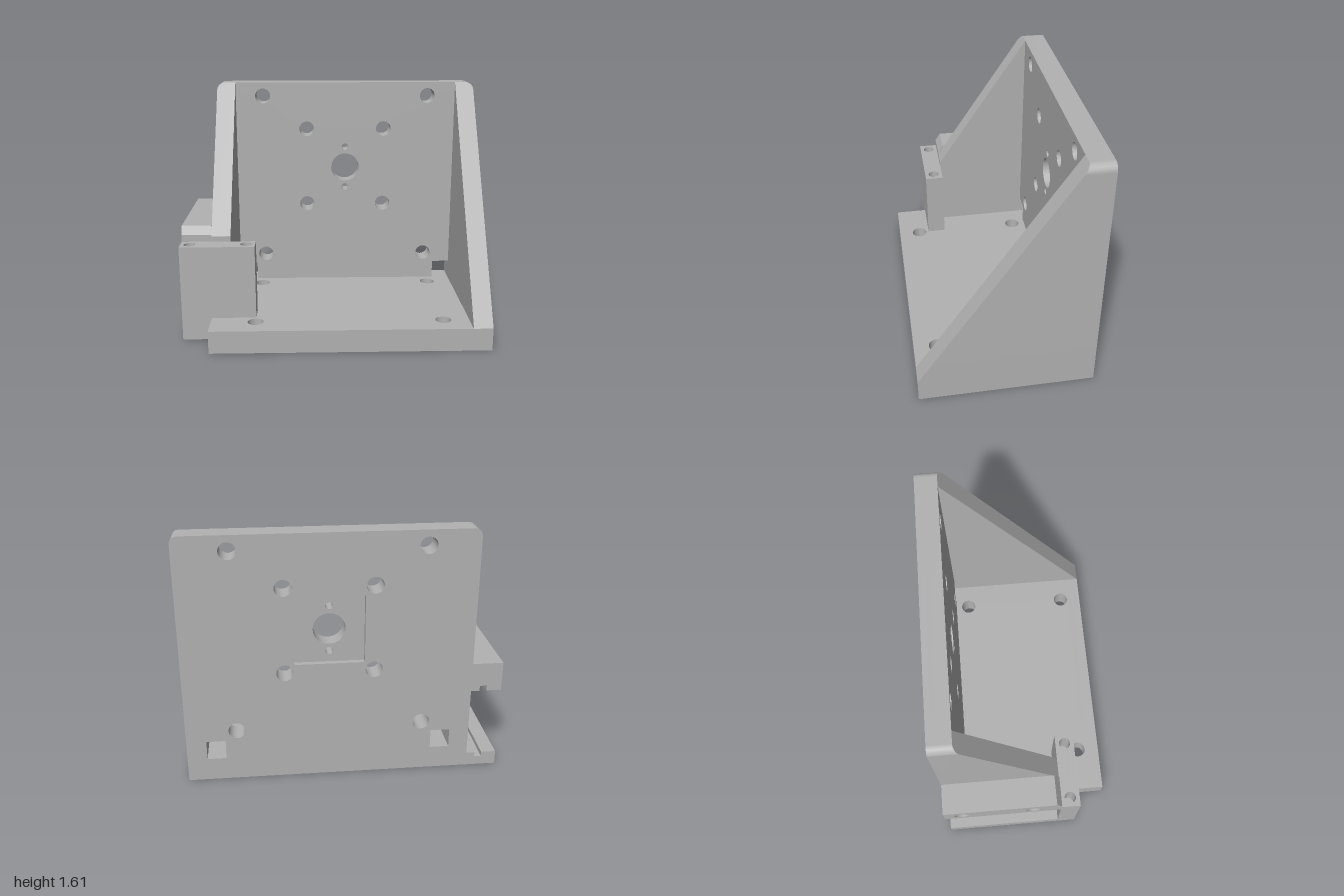
import * as THREE from 'three';
import { toCreasedNormals } from 'three/addons/utils/BufferGeometryUtils.js';

const XL = -0.805, XR = 1, WALL = 0.125;   // bracket sides and gusset thickness
const BACK = -0.56, FRONT = 0.56, PLATE_Z = -0.415;
const TOP = 1.61, BASE = 0.15, ROUND = 0.05;

export function createModel() {
  const model = new THREE.Group();
  model.name = 'mountingBracket';
  const grey = new THREE.MeshStandardMaterial({ color: 0xb2b2b2 });
  grey.name = 'machined grey';

  const add = (name, geometry) => {
    const mesh = new THREE.Mesh(geometry, grey);
    mesh.name = name;
    model.add(mesh);
    return mesh;
  };
  const box = (name, x0, x1, y0, y1, z0, z1) =>
    add(name, new THREE.BoxGeometry(x1 - x0, y1 - y0, z1 - z0)
      .translate((x0 + x1) / 2, (y0 + y1) / 2, (z0 + z1) / 2));
  const polygon = (points) => new THREE.Shape(points.map(([x, y]) => new THREE.Vector2(x, y)));
  const rect = (x0, x1, y0, y1) => polygon([[x0, y0], [x1, y0], [x1, y1], [x0, y1]]);
  const drill = (shape, r, centres) => {
    for (const [x, y] of centres) shape.holes.push(new THREE.Path().absarc(x, y, r, 0, Math.PI * 2, true));
    return shape;
  };
  const extrude = (shape, depth) =>
    new THREE.ExtrudeGeometry(shape, { depth, bevelEnabled: false, curveSegments: 16 });
  const crease = (geometry) => toCreasedNormals(geometry, 0.5);

  // Base with four bolt holes (shape y is -z)
  const baseHoles = [[-0.515, 0.32], [0.705, 0.32], [-0.515, -0.41], [0.705, -0.41]];
  add('base', crease(extrude(drill(rect(XL, XR, -FRONT, -BACK), 0.052, baseHoles), BASE)
    .rotateX(-Math.PI / 2)));

  // Back plate: rounded top, square notches at the foot, bolt pattern
  const plateShape = () => {
    const s = polygon([[XL, BASE], [XL + WALL, BASE], [-0.68, 0.275], [-0.557, 0.275], [-0.557, BASE],
      [0.755, BASE], [0.755, 0.275], [0.875, 0.275], [0.875, BASE], [XR, BASE]]);
    s.lineTo(XR, TOP - ROUND);
    s.absarc(XR - ROUND, TOP - ROUND, ROUND, 0, Math.PI / 2);
    s.lineTo(XL + ROUND, TOP);
    s.absarc(XL + ROUND, TOP - ROUND, ROUND, Math.PI / 2, Math.PI);
    const bolts = [];
    for (const x of [-0.49, 0.68]) for (const y of [0.345, 1.515]) bolts.push([x, y]);
    for (const x of [-0.18, 0.37]) for (const y of [0.73, 1.28]) bolts.push([x, y]);
    return drill(s, 0.053, bolts);
  };
  const POCKET = 0.035;
  const pocketed = plateShape();
  pocketed.holes.push(rect(-0.122, 0.312, 0.783, 1.217));
  add('backPlateRear', crease(extrude(pocketed, POCKET))).position.z = BACK;

  const bored = drill(plateShape(), 0.1, [[0.095, 1.0]]);
  drill(bored, 0.024, [[0.095, 1.15], [0.095, 0.855]]);
  add('backPlateFront', crease(extrude(bored, PLATE_Z - BACK - POCKET))).position.z = BACK + POCKET;

  // Sloping gussets: a rounded strip whose front face is moved onto the slope
  const slopeZ = (y) => FRONT - (FRONT - PLATE_Z) * (y - BASE) / (TOP - BASE);
  const gusset = (name, left, y0) => {
    const s = new THREE.Shape();
    if (left) {
      s.moveTo(XL, y0);
      s.lineTo(XL + WALL, y0);
      s.lineTo(XL + WALL, TOP);
      s.lineTo(XL + ROUND, TOP);
      s.absarc(XL + ROUND, TOP - ROUND, ROUND, Math.PI / 2, Math.PI);
    } else {
      s.moveTo(XR - WALL, y0);
      s.lineTo(XR, y0);
      s.lineTo(XR, TOP - ROUND);
      s.absarc(XR - ROUND, TOP - ROUND, ROUND, 0, Math.PI / 2);
      s.lineTo(XR - WALL, TOP);
    }
    const g = extrude(s, 1);
    const p = g.attributes.position;
    for (let i = 0; i < p.count; i++) p.setZ(i, p.getZ(i) > 0.5 ? slopeZ(p.getY(i)) : PLATE_Z);
    add(name, crease(g));
  };
  gusset('plainGusset', false, BASE);
  gusset('bracketGusset', true, 0.67);
  box('bracketGussetFoot', XL, XL + WALL, BASE, 0.67, PLATE_Z, 0.215);

  // Front clamp block with two blind holes in its top
  const BX = -0.515, BZ0 = 0.215, BZ1 = 0.34;
  box('clampBlock', -1, BX, 0, 0.4, BZ0, BZ1);
  add('clampBlockTop', crease(extrude(
    drill(rect(-1, BX, -BZ1, -BZ0), 0.037, [[-0.94, -0.277], [-0.575, -0.277]]), 0.235)
    .rotateX(-Math.PI / 2).translate(0, 0.4, 0)));

  // Side rail housing: upper rail with chamfered front and side holes (shape x is -z)
  const upper = drill(polygon([[-BZ0, 0.58], [-BACK, 0.58], [-BACK, 0.735], [-0.18, 0.735], [-BZ0, 0.68]]),
    0.05, [[0.44, 0.637], [-0.03, 0.637]]);
  add('upperRail', crease(extrude(upper, XL + 1).rotateY(Math.PI / 2).translate(-1, 0, 0)));
  box('lowerRail', -1, XL, 0, 0.06, BACK, BZ0);

  // Lips on both rails leave a narrow guide groove between them
  for (const [x0, x1] of [[-1, -0.905], [-0.86, XL]]) {
    box('upperRailLip', x0, x1, 0.545, 0.58, BACK, BZ0);
    box('lowerRailLip', x0, x1, 0.06, 0.09, BACK, BZ0);
  }
  return model;
}
